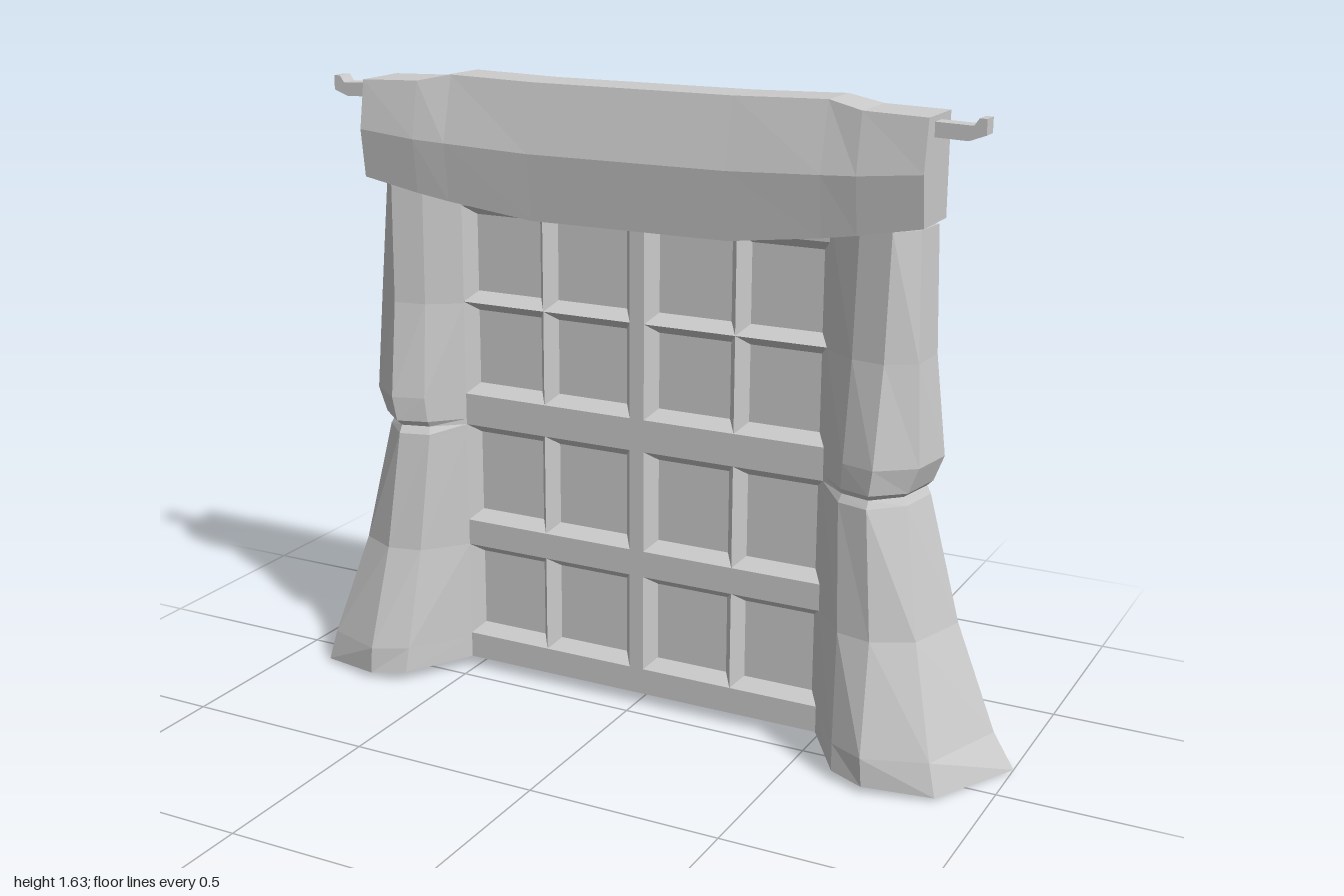
import * as THREE from 'three';

const BACK = -0.145, FACE = -0.055, GLASS = -0.09;
const material = new THREE.MeshStandardMaterial({ color: 0xcccccc, flatShading: true });

function add(parent, geometry, name) {
  const mesh = new THREE.Mesh(geometry, material);
  mesh.name = name;
  parent.add(mesh);
  return mesh;
}

function fromTriangles(tris) {
  const g = new THREE.BufferGeometry().setFromPoints(tris.flat());
  g.computeVertexNormals();
  return g;
}

// Closed solid through equal-length rings of points, faces turned outward
function loft(rings) {
  const tris = [];
  const n = rings[0].length, last = rings[rings.length - 1];
  for (let i = 0; i + 1 < rings.length; i++) {
    for (let j = 0; j < n; j++) {
      const k = (j + 1) % n;
      const [a, b, c, d] = [rings[i][j], rings[i][k], rings[i + 1][k], rings[i + 1][j]];
      tris.push([a, b, c], [a, c, d]);
    }
  }
  for (let j = 1; j + 1 < n; j++) {
    tris.push([rings[0][0], rings[0][j + 1], rings[0][j]], [last[0], last[j], last[j + 1]]);
  }
  const volume = tris.reduce((s, [a, b, c]) => s + a.dot(b.clone().cross(c)), 0);
  return fromTriangles(volume < 0 ? tris.map(([a, b, c]) => [a, c, b]) : tris);
}

// Box given by its limits
function box(x0, x1, y0, y1, z0, z1) {
  return new THREE.BoxGeometry(x1 - x0, y1 - y0, z1 - z0)
    .translate((x0 + x1) / 2, (y0 + y1) / 2, (z0 + z1) / 2);
}

// Recessed pane with four sloping sides
function pane(x0, x1, y0, y1) {
  const b = 0.026;
  const rect = (i, z) => [[x0 + i, y0 + i], [x1 - i, y0 + i], [x1 - i, y1 - i], [x0 + i, y1 - i]]
    .map(([x, y]) => new THREE.Vector3(x, y, z));
  const o = rect(0, FACE), p = rect(b, GLASS);
  const tris = [[p[0], p[1], p[2]], [p[0], p[2], p[3]]];
  for (let j = 0; j < 4; j++) {
    const k = (j + 1) % 4;
    tris.push([o[j], o[k], p[k]], [o[j], p[k], p[j]]);
  }
  return fromTriangles(tris);
}

// Curtain levels: y, outer x, then x and z of the outer, middle and inner folds
const LEVELS = [
  [0.00, 1.000, 0.88, 0.10, 0.71, 0.145, 0.62, 0.11],
  [0.09, 0.945, 0.86, 0.09, 0.705, 0.145, 0.615, 0.10],
  [0.36, 0.840, 0.79, 0.02, 0.69, 0.07, 0.60, 0.05],
  [0.68, 0.755, 0.735, -0.03, 0.66, 0.042, 0.58, 0.02],
  [0.70, 0.745, 0.725, -0.035, 0.66, 0.03, 0.585, 0.01],
  [0.715, 0.76, 0.74, -0.02, 0.665, 0.045, 0.585, 0.02],
  [0.78, 0.785, 0.765, -0.02, 0.675, 0.05, 0.59, 0.025],
  [1.03, 0.755, 0.75, -0.03, 0.68, 0.015, 0.595, 0.0],
  [1.34, 0.745, 0.735, -0.05, 0.685, 0.005, 0.60, -0.01],
];

function curtain(side) {
  return loft(LEVELS.map(([y, xo, x1, z1, x2, z2, x3, z3]) =>
    [[xo, BACK], [x1, z1], [x2, z2], [x3, z3], [0.51, FACE], [0.51, BACK]]
      .map(([x, z]) => new THREE.Vector3(side * x, y === 0 ? 0.06 * (1 - x) : y, z))));
}

// Pelmet stations: x, top y, top front z, bulge y, bulge z, lower y, lower z
const STATIONS = [
  [0.76, 1.605, 0.005, 1.48, 0.026, 1.355, 0.01],
  [0.60, 1.61, 0.0, 1.465, 0.028, 1.325, 0.01],
  [0.51, 1.628, -0.02, 1.46, 0.022, 1.31, 0.005],
  [0.27, 1.622, -0.02, 1.45, 0.018, 1.28, 0.0],
];

function pelmet() {
  const ring = (side) => ([x, ty, tz, by, bz, ly, lz]) =>
    [[ty, BACK], [ty, tz], [by, bz], [ly, lz], [Math.min(ly, 1.36), BACK]]
      .map(([y, z]) => new THREE.Vector3(side * x, y, z));
  return loft([...STATIONS.map(ring(-1)), ...[...STATIONS].reverse().map(ring(1))]);
}

// Rod end with a small upturned tip
function rodEnd(side) {
  const pts = [[0.74, 1.557], [0.84, 1.553], [0.88, 1.568], [0.88, 1.605],
    [0.862, 1.605], [0.85, 1.588], [0.74, 1.592]];
  const shape = new THREE.Shape(pts.map(([x, y]) => new THREE.Vector2(side * x, y)));
  return new THREE.ExtrudeGeometry(shape, { depth: 0.045, bevelEnabled: false }).translate(0, 0, -0.08);
}

export function createModel() {
  const model = new THREE.Group();
  model.name = 'curtainedWindow';

  // Window: back board, flat bars and recessed panes
  const win = new THREE.Group();
  win.name = 'window';
  model.add(win);
  add(win, box(-0.51, 0.51, 0.03, 1.4, BACK, GLASS - 0.005), 'backBoard');
  for (const [y0, y1] of [[0.03, 0.10], [0.36, 0.43], [0.70, 0.785], [1.29, 1.36]]) {
    add(win, box(-0.51, 0.51, y0, y1, GLASS - 0.01, FACE), 'crossBar');
  }
  for (const [y0, y1] of [[0.10, 0.36], [0.43, 0.70], [0.785, 1.29]]) {
    add(win, box(-0.02, 0.02, y0, y1, GLASS - 0.01, FACE), 'mullion');
  }
  for (const [y0, y1] of [[0.10, 0.36], [0.43, 0.70], [0.785, 1.035], [1.035, 1.29]]) {
    for (const [x0, x1] of [[-0.51, -0.27], [-0.27, -0.02], [0.02, 0.27], [0.27, 0.51]]) {
      add(win, pane(x0, x1, y0, y1), 'pane');
    }
  }

  // Curtains and rod ends, mirrored
  for (const [side, label] of [[1, 'left'], [-1, 'right']]) {
    add(model, curtain(side), label + 'Curtain');
    add(model, rodEnd(side), label + 'RodEnd');
  }

  // Pelmet across the top
  add(model, pelmet(), 'pelmet');
  return model;
}
